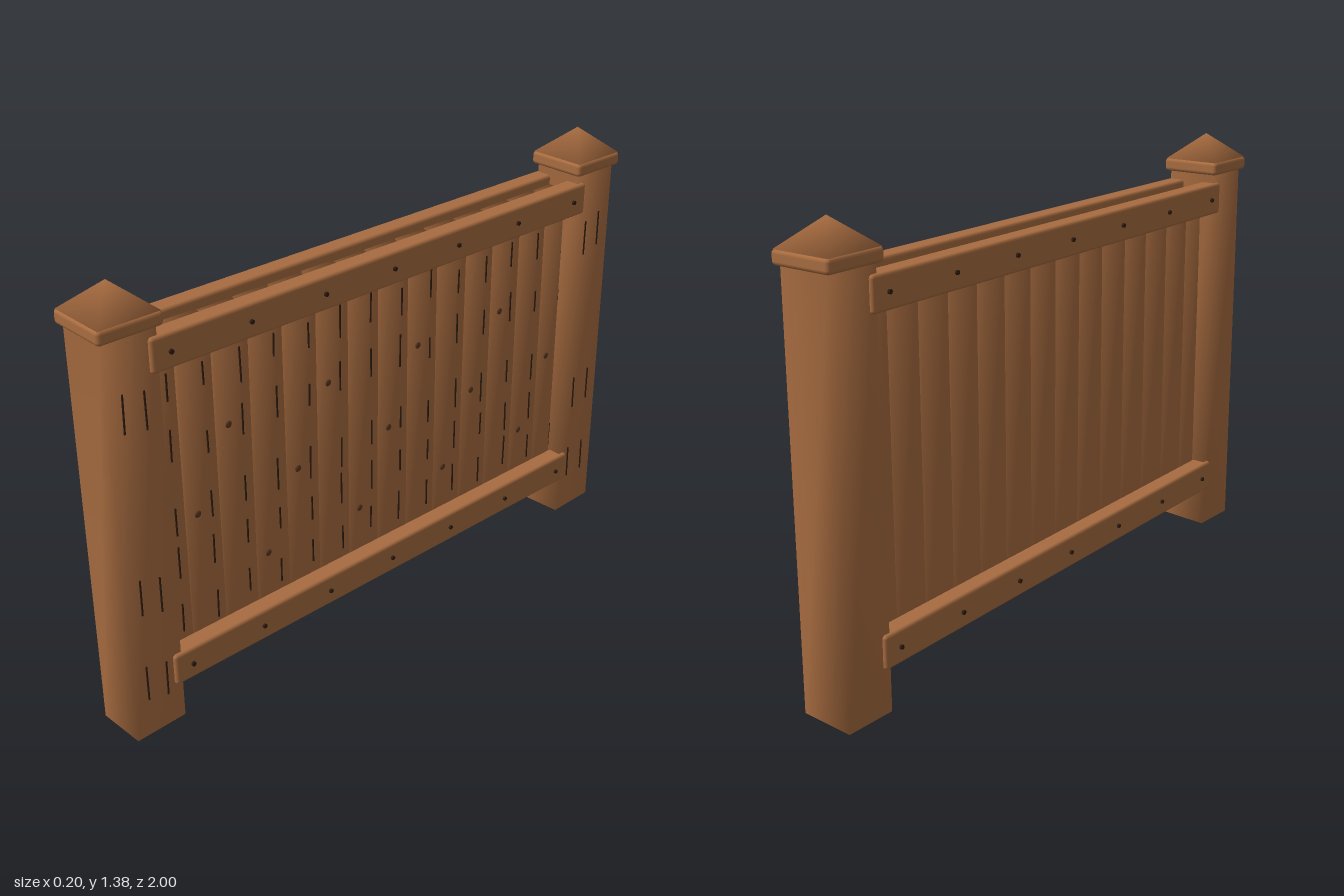
import * as THREE from 'three';
import { mergeVertices } from 'three/addons/utils/BufferGeometryUtils.js';
import { RoundedBoxGeometry } from 'three/addons/geometries/RoundedBoxGeometry.js';

const wood = new THREE.MeshStandardMaterial({ color: 0xa86c40 });
const dark = new THREE.MeshStandardMaterial({ color: 0x2e1c10 });
const knotWood = new THREE.MeshStandardMaterial({ color: 0x5a3820 });

// Small seeded generator for the hand-cut irregularity
let seed = 7;
const jitter = (amount) => {
  seed = (seed * 16807) % 2147483647;
  return (seed / 2147483647 - 0.5) * 2 * amount;
};

// Shares corner vertices so that the shading rolls softly over the edges
function soften(geometry) {
  geometry.deleteAttribute('normal');
  geometry.deleteAttribute('uv');
  const merged = mergeVertices(geometry, 1e-4);
  merged.computeVertexNormals();
  return merged;
}

function add(parent, name, geometry, material, x, y, z) {
  const mesh = new THREE.Mesh(geometry, material);
  mesh.name = name;
  mesh.position.set(x, y, z);
  parent.add(mesh);
  return mesh;
}

// Thin dark streak lying on a +x face
function grain(parent, x, y, z, length) {
  const geometry = new THREE.CylinderGeometry(0.003, 0.003, length, 5);
  add(parent, 'grainStreak', geometry, dark, x, y, z).rotation.x = jitter(0.02);
}

function makePost(side) {
  const post = new THREE.Group();
  post.name = side > 0 ? 'frontPost' : 'backPost';
  const z = side * 0.9;

  // Shaft with a slightly slanted foot
  const shaft = soften(new THREE.BoxGeometry(0.166, 1.28, 0.166));
  const p = shaft.attributes.position;
  for (let i = 0; i < p.count; i++) {
    if (p.getY(i) < 0) p.setY(i, -0.64 + 0.007 + p.getX(i) * 0.05 - p.getZ(i) * 0.03);
  }
  shaft.computeVertexNormals();
  add(post, 'postShaft', shaft, wood, 0, 0.64, z);

  // Cap: rounded collar and pyramid
  add(post, 'capCollar', new RoundedBoxGeometry(0.2, 0.043, 0.2, 2, 0.012), wood, 0, 1.28, z);
  const pyramid = new THREE.ConeGeometry(0.095 * Math.SQRT2, 0.082, 4).rotateY(Math.PI / 4);
  add(post, 'capPyramid', soften(pyramid), wood, 0, 1.341, z);

  for (const dz of [-0.034, 0.034]) {
    for (const y of [0.19, 0.47, 1.04]) {
      grain(post, 0.084, y + jitter(0.015), z + dz + jitter(0.004), 0.115);
    }
  }
  return post;
}

function makeSlat(index) {
  const slat = new THREE.Group();
  slat.name = 'slat' + (index + 1);
  const z = 0.793 - index * 0.122;

  // Board with corners nudged a little
  const board = soften(new THREE.BoxGeometry(0.066, 1.1, 0.115));
  const p = board.attributes.position;
  for (let i = 0; i < p.count; i++) {
    p.setXYZ(i, p.getX(i) + jitter(0.001), p.getY(i) + jitter(0.003), p.getZ(i) + jitter(0.0025));
  }
  board.computeVertexNormals();
  add(slat, 'slatBoard', board, wood, -0.002, 0.65, z);

  // Knot, stepping through three heights along the panel
  const knot = new THREE.SphereGeometry(0.011, 10, 8).scale(0.4, 1, 1);
  add(slat, 'knot', knot, knotWood, 0.031, [0.38, 0.62, 0.86][index % 3], z + 0.02);

  for (const y of [0.31, 0.475, 0.62, 0.85, 1.04]) {
    grain(slat, 0.0315, y + jitter(0.02), z - 0.028 + jitter(0.003), 0.09 + jitter(0.02));
  }
  return slat;
}

function makeRail(side, y) {
  const rail = new THREE.Group();
  rail.name = (y > 1 ? 'upper' : 'lower') + (side > 0 ? 'Left' : 'Right') + 'Rail';
  const beam = new RoundedBoxGeometry(0.062, 0.102, 1.69, 2, 0.01);
  add(rail, 'railBeam', beam, wood, side * 0.064, y, 0);

  // Nail heads along the outer face
  for (let i = -3; i <= 3; i++) {
    const nail = new THREE.CylinderGeometry(0.007, 0.007, 0.014, 8).rotateZ(Math.PI / 2);
    add(rail, 'nail', nail, dark, side * 0.095, y, i * 0.262);
  }
  return rail;
}

export function createModel() {
  const fence = new THREE.Group();
  fence.name = 'fencePanel';
  for (const side of [1, -1]) {
    fence.add(makePost(side));
    for (const y of [0.188, 1.18]) fence.add(makeRail(side, y));
  }
  for (let i = 0; i < 14; i++) fence.add(makeSlat(i));
  return fence;
}
